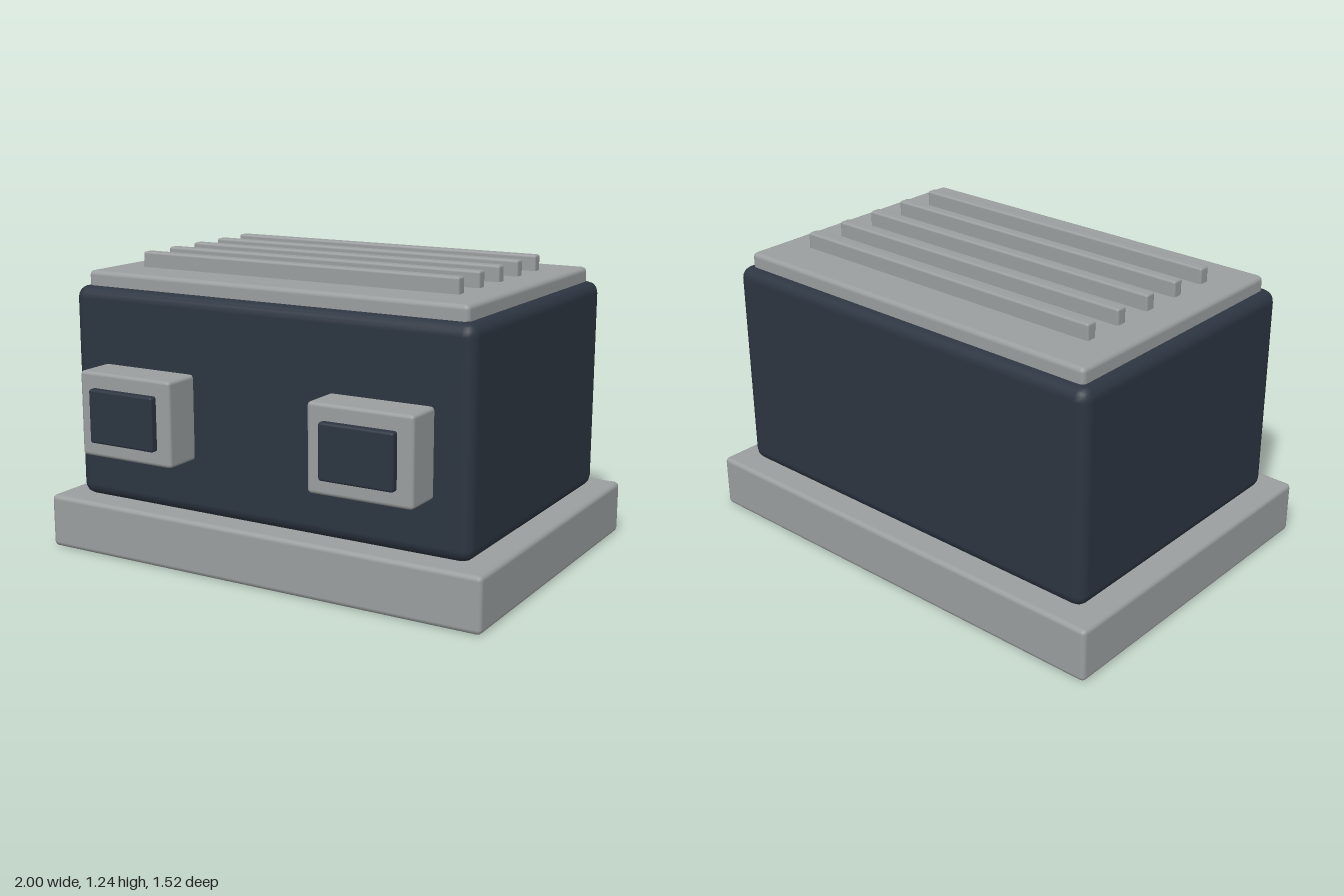
import * as THREE from 'three';
import { RoundedBoxGeometry } from 'three/addons/geometries/RoundedBoxGeometry.js';

export function createModel() {
  const model = new THREE.Group();
  model.name = 'chest';

  const grey = new THREE.MeshStandardMaterial({ color: 0x9a9e9e });
  grey.name = 'warm grey';
  const navy = new THREE.MeshStandardMaterial({ color: 0x2c3541 });
  navy.name = 'dark navy';

  // Bevelled box given by its [min, max] extents on each axis
  function block(name, material, [x0, x1], [y0, y1], [z0, z1], bevel) {
    const geometry = new RoundedBoxGeometry(x1 - x0, y1 - y0, z1 - z0, 2, bevel);
    const mesh = new THREE.Mesh(geometry, material);
    mesh.name = name;
    mesh.position.set((x0 + x1) / 2, (y0 + y1) / 2, (z0 + z1) / 2);
    model.add(mesh);
  }

  // Plinth, body and lid, stacked
  block('base', grey, [-1, 1], [0, 0.225], [-0.76, 0.66], 0.02);
  block('body', navy, [-0.91, 0.91], [0.222, 1.115], [-0.67, 0.57], 0.05);
  block('lid', grey, [-0.865, 0.865], [1.09, 1.175], [-0.625, 0.525], 0.02);

  // Five ribs across the lid
  for (let i = 0; i < 5; i++) {
    const z = 0.306 - i * 0.178;
    block('lidRib', grey, [-0.73, 0.73], [1.15, 1.24], [z - 0.025, z + 0.025], 0.01);
  }

  // Two front housings, each with a dark raised panel
  for (const [side, x] of [['left', 0.535], ['right', -0.535]]) {
    block(side + 'Housing', grey, [x - 0.222, x + 0.222], [0.452, 0.802], [0.53, 0.73], 0.015);
    block(side + 'Panel', navy, [x - 0.157, x + 0.157], [0.516, 0.738], [0.69, 0.76], 0.01);
  }

  return model;
}
